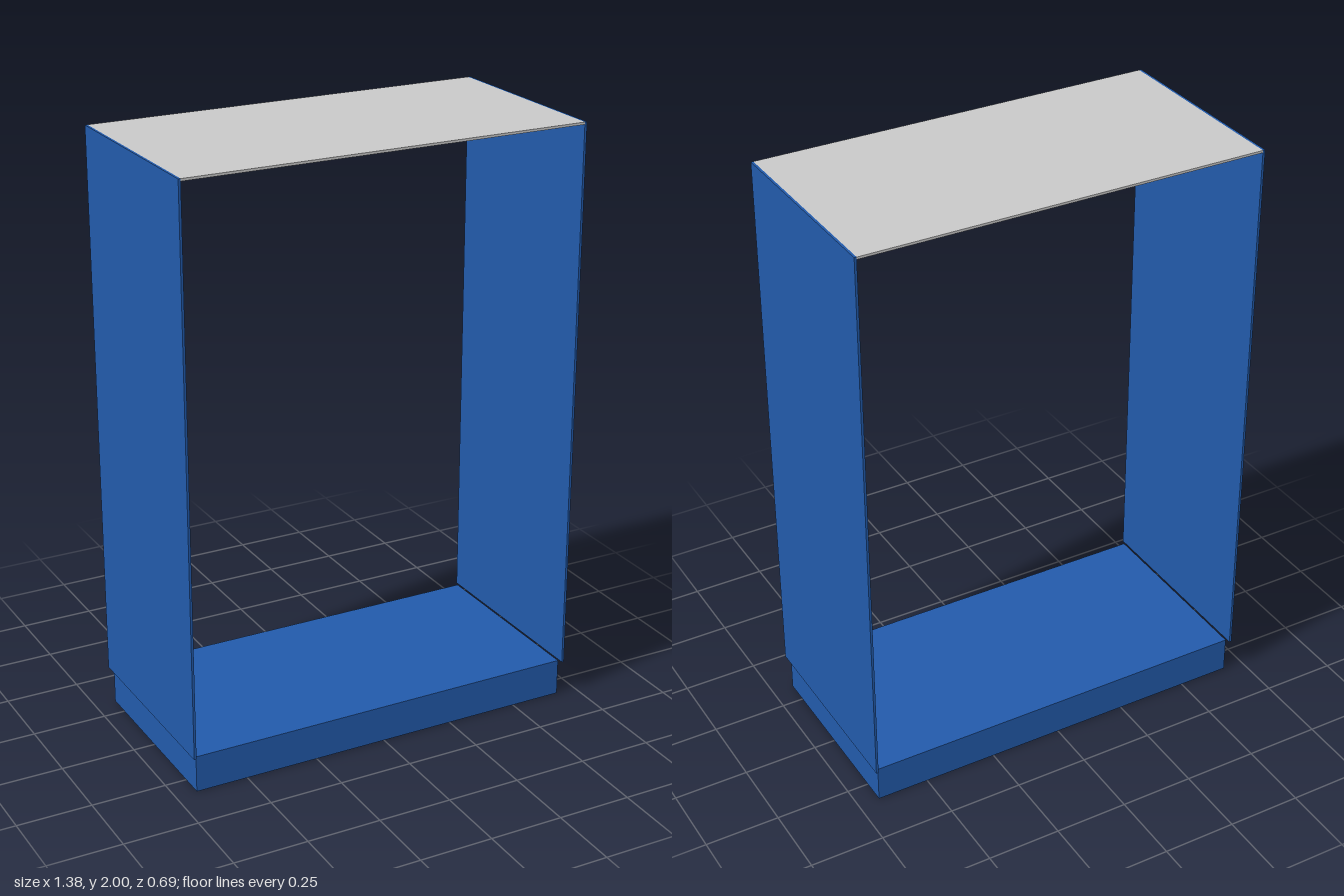
import * as THREE from 'three';

const blue = new THREE.MeshStandardMaterial({ color: 0x225aaa });
blue.name = 'blue';
const lightGrey = new THREE.MeshStandardMaterial({ color: 0xc8c8c8 });
lightGrey.name = 'lightGrey';

const HALF_WIDTH = 0.69, DEPTH = 0.692, HEIGHT = 2;
const BASE_HEIGHT = 0.125, SHEET = 0.008;

// Box placed by its centre in x and its bottom in y
function box(name, material, w, h, d, x, bottom) {
  const mesh = new THREE.Mesh(new THREE.BoxGeometry(w, h, d), material);
  mesh.name = name;
  mesh.position.set(x, bottom + h / 2, 0);
  return mesh;
}

export function createModel() {
  const model = new THREE.Group();
  model.name = 'openFrame';

  // Plinth, slightly inset from the side panels
  model.add(box('base', blue, 1.354, BASE_HEIGHT, 0.661, 0, 0));

  // Thin side panels standing from plinth height to the top
  for (const [name, side] of [['leftPanel', 1], ['rightPanel', -1]]) {
    model.add(box(name, blue, SHEET, HEIGHT - BASE_HEIGHT, DEPTH,
      side * (HALF_WIDTH - SHEET / 2), BASE_HEIGHT));
  }

  // Top sheet fitted between the panels
  model.add(box('topPanel', lightGrey, 2 * (HALF_WIDTH - SHEET), SHEET, DEPTH, 0, HEIGHT - SHEET));

  return model;
}
